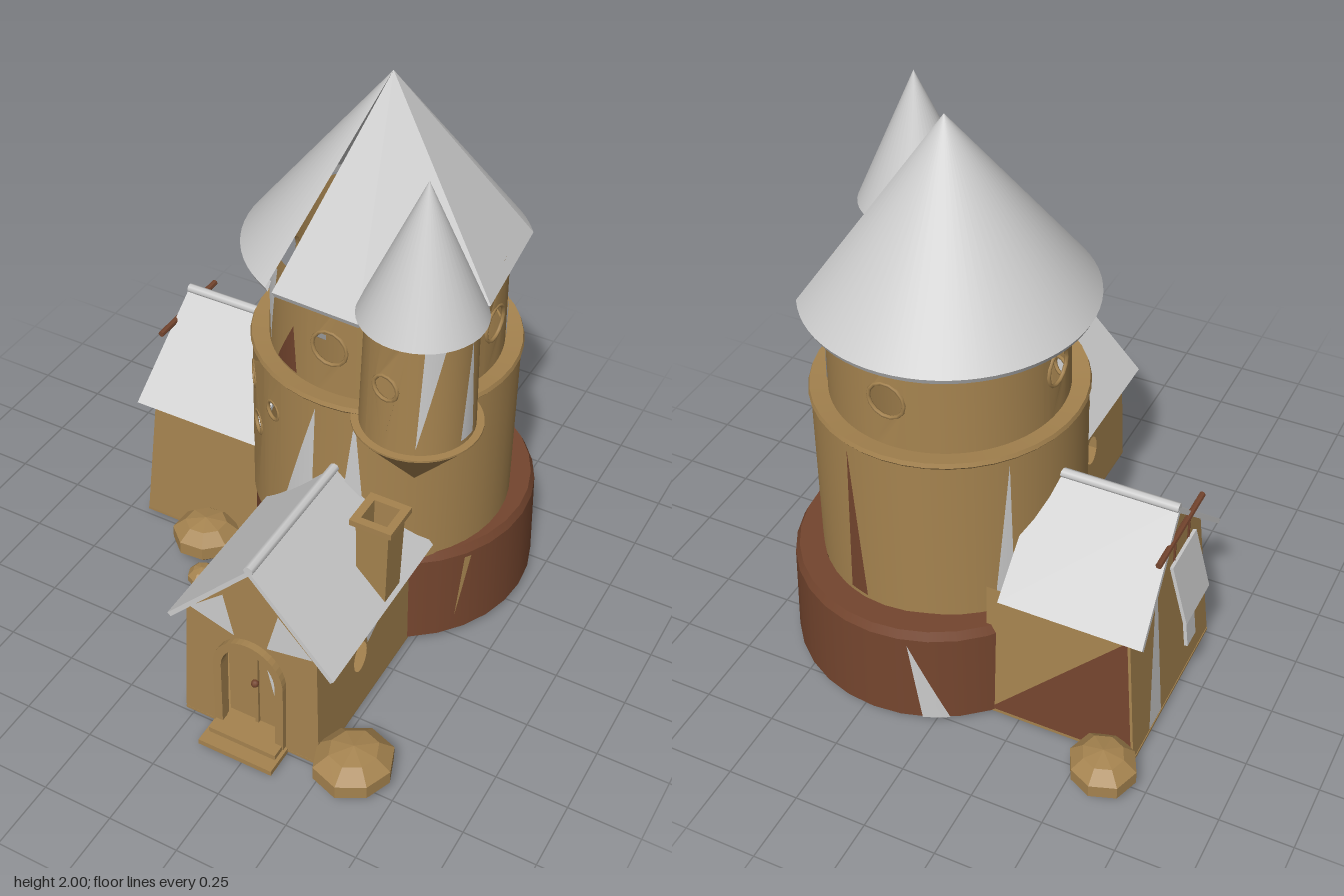
import * as THREE from 'three';

const mat = (color, flat = false) => new THREE.MeshStandardMaterial({ color, flatShading: flat, side: THREE.DoubleSide });
const TAN = mat(0xa5834f), BRICK = mat(0x74452e), GREY = mat(0xcccccc);
const TAN_FLAT = mat(0xa5834f, true), BRICK_FLAT = mat(0x74452e, true), GREY_FLAT = mat(0xcccccc, true);
const V2 = (x, y) => new THREE.Vector2(x, y);

function add(parent, name, geo, material, x = 0, y = 0, z = 0) {
  const m = new THREE.Mesh(geo, material);
  m.name = name;
  m.position.set(x, y, z);
  parent.add(m);
  return m;
}

function group(parent, name, x, y, z) {
  const g = new THREE.Group();
  g.name = name;
  g.position.set(x, y, z);
  parent.add(g);
  return g;
}

// Moves every vertex by a rule, then refreshes the normals
function warp(geo, rule) {
  const p = geo.attributes.position, v = new THREE.Vector3();
  for (let i = 0; i < p.count; i++) {
    rule(v.fromBufferAttribute(p, i));
    p.setXYZ(i, v.x, v.y, v.z);
  }
  geo.computeVertexNormals();
  return geo;
}

// Each pair of profile points becomes its own turned band, so edges stay crisp
function turned(parent, name, pts, material, start = 0, len = Math.PI * 2, seg = 40) {
  for (let i = 0; i + 1 < pts.length; i++)
    add(parent, name, new THREE.LatheGeometry([V2(...pts[i]), V2(...pts[i + 1])], seg, start, len), material);
}

function ellipseHole(x, y, rx, ry) {
  return new THREE.Path().absellipse(x, y, rx, ry, 0, Math.PI * 2, true);
}

// Round wall with bent panels that carry window holes; panel: {a, half, holes: [angle, y, radius]}
function roundWall(parent, name, r0, y0, r1, y1, panels) {
  const radius = y => r0 + (r1 - r0) * (y - y0) / (y1 - y0);
  panels.forEach(({ a, half, holes }, i) => {
    const pts = [], n = 8;
    for (let k = 0; k <= n; k++) pts.push(V2(a - half + 2 * half * k / n, y0));
    for (let k = n; k >= 0; k--) pts.push(V2(a - half + 2 * half * k / n, y1));
    const shape = new THREE.Shape(pts);
    holes.forEach(([ha, hy, hr]) => shape.holes.push(ellipseHole(ha, hy, hr / radius(hy), hr)));
    add(parent, name + 'WindowPanel', warp(new THREE.ShapeGeometry(shape, 8), v => {
      const r = radius(v.y);
      v.set(r * Math.sin(v.x), v.y, r * Math.cos(v.x));
    }), TAN);
    holes.forEach(([ha, hy, hr]) => {
      const r = radius(hy) - 0.004;
      add(parent, 'windowFrame', new THREE.TorusGeometry(hr, 0.007, 6, 14), TAN,
        r * Math.sin(ha), hy, r * Math.cos(ha)).rotation.y = ha;
    });
    const next = panels[(i + 1) % panels.length];
    let end = next.a - next.half;
    while (end <= a + half) end += Math.PI * 2;
    turned(parent, name, [[r0, y0], [r1, y1]], TAN, a + half, end - a - half);
  });
}

// Triangular patch; map turns its corner coordinates into a point on the surface
function patch(parent, material, a, b, c, map = v => v) {
  const A = new THREE.Vector3(...a), B = new THREE.Vector3(...b), C = new THREE.Vector3(...c);
  const geo = warp(new THREE.PlaneGeometry(1, 1, 6, 6), v => {
    const u = v.x + 0.5, t = v.y + 0.5;
    v.copy(A).lerp(B.clone().lerp(C, u), t);
    map(v);
  });
  add(parent, 'wallPatch', geo, material);
}
function roundPatch(parent, material, r, a, b, c) {
  patch(parent, material, [...a, 0], [...b, 0], [...c, 0],
    v => v.set(r * Math.sin(v.x), v.y, r * Math.cos(v.x)));
}

// Gabled house: ridge along z, gable wall at z = 0, body running towards -z
function house(parent, name, x, z, o) {
  const g = group(parent, name, x, 0, z), y0 = 0.03;
  const top = o.apex - o.topW * o.slope;
  const halfW = y => o.botW + (o.topW - o.botW) * (y - y0) / (top - y0);
  const lean = v => { v.z -= o.lean * v.y; };
  const gable = new THREE.Shape([V2(-o.botW, y0), V2(o.botW, y0), V2(o.topW, top), V2(0, o.apex), V2(-o.topW, top)]);
  if (o.door) gable.holes.push(o.door);
  add(g, 'gableWall', warp(new THREE.ExtrudeGeometry(gable, { depth: 0.03, bevelEnabled: false })
    .translate(0, 0, -0.03), lean), TAN_FLAT);
  for (const s of [-1, 1]) {
    const side = new THREE.Shape([V2(0, y0), V2(o.len, y0), V2(o.len, top), V2(0, top)]);
    if (o.window) side.holes.push(ellipseHole(...o.window));
    add(g, 'sideWall', warp(new THREE.ShapeGeometry(side, 8), v => {
      v.set(s * halfW(v.y), v.y, -v.x - (v.x < 0.01 ? o.lean * v.y : 0));
    }), TAN_FLAT);
  }
  add(g, 'floor', new THREE.BoxGeometry(2 * o.botW, 0.01, o.len), TAN_FLAT, 0, 0.025, -o.len / 2);
  // Roof chevron and ridge roll
  const e = o.eaveW, ey = o.ridge - e * o.slope, t = 0.022;
  const chevron = new THREE.Shape([V2(-e, ey), V2(-e + 0.012, ey - 0.012), V2(0, o.ridge - t),
    V2(e - 0.012, ey - 0.012), V2(e, ey), V2(0, o.ridge)]);
  add(g, 'gableRoof', warp(new THREE.ExtrudeGeometry(chevron, { depth: o.len, bevelEnabled: false })
    .translate(0, 0, o.overhang - o.len), v => { if (v.z > 0) lean(v); }), GREY_FLAT);
  add(g, 'ridgeRoll', new THREE.CylinderGeometry(0.017, 0.017, o.len, 8).rotateX(Math.PI / 2), GREY,
    0, o.ridge - 0.002, o.overhang - o.lean * o.ridge - o.len / 2);
  return g;
}

function archPath(Type, w, y0, spring, rise) {
  const p = new Type();
  p.moveTo(-w, y0);
  p.lineTo(w, y0);
  p.lineTo(w, spring);
  p.absellipse(0, spring, w, rise, 0, Math.PI, false);
  p.lineTo(-w, y0);
  return p;
}

export function createModel() {
  const root = new THREE.Group();
  root.name = 'castleHouse';

  // Brick base drum with sloped rim and a striped underside
  const base = group(root, 'base', 0.205, 0, -0.315);
  turned(base, 'baseDrum', [[0, 0.03], [0.512, 0.03], [0.5, 0.37]], BRICK, 0, Math.PI * 2, 32);
  turned(base, 'baseRim', [[0.5, 0.37], [0.485, 0.4], [0.4, 0.4]], BRICK, 0, Math.PI * 2, 32);
  for (let i = 0; i < 11; i++)
    add(base, 'underStripe', new THREE.CircleGeometry(0.505, 3, i * 0.571, 0.16 + 0.12 * (i % 3)).rotateX(Math.PI / 2),
      GREY, 0, 0.028, 0);
  roundPatch(base, GREY, 0.514, [-2.88, 0.36], [-2.8, 0.03], [-2.62, 0.03]);
  roundPatch(base, TAN, 0.514, [0.95, 0.37], [0.9, 0.1], [1.0, 0.37]);

  // Main tower: lower drum, ledge, upper drum
  const tower = group(root, 'tower', 0.185, 0, -0.25);
  roundWall(tower, 'lowerDrum', 0.455, 0.38, 0.452, 1.03, [
    { a: -0.85, half: 0.22, holes: [[-0.94, 0.88, 0.045], [-0.77, 0.73, 0.042]] },
    { a: -0.5, half: 0.11, holes: [[-0.5, 0.87, 0.035]] },
  ]);
  turned(tower, 'ledge', [[0.452, 1.015], [0.46, 1.025], [0.455, 1.04], [0.39, 1.03]], TAN);
  const q = Math.PI / 2;
  roundWall(tower, 'upperDrum', 0.395, 1.03, 0.388, 1.42,
    [0, 1, 2, 3].map(i => ({ a: i * q - 0.03, half: 0.22, holes: [[i * q - 0.03, 1.2, 0.063]] })));
  roundPatch(tower, GREY, 0.46, [-0.05, 1.0], [-0.36, 0.5], [-0.08, 0.5]);
  roundPatch(tower, GREY, 0.46, [0.25, 1.0], [0.12, 0.45], [0.36, 0.45]);
  roundPatch(tower, BRICK, 0.457, [2.84, 1.0], [2.78, 0.4], [2.94, 0.4]);
  roundPatch(tower, GREY, 0.457, [-2.25, 1.0], [-2.38, 0.4], [-2.22, 0.4]);
  roundPatch(tower, BRICK, 0.397, [-0.4, 1.22], [-0.65, 1.04], [-0.36, 1.04]);
  roundPatch(tower, GREY, 0.397, [-0.95, 1.38], [-0.85, 1.05], [-0.65, 1.38]);
  roundPatch(tower, GREY, 0.397, [1.95, 1.22], [1.9, 1.04], [2.15, 1.04]);

  // Main roof: smooth cone behind, three flat panels in front and a narrow slit
  const roof = group(root, 'mainRoof', 0.172, 0, -0.255);
  const cone = [[0.455, 1.4], [0.468, 1.365], [0.478, 1.385], [0, 2]];
  turned(roof, 'roofCone', cone, GREY, 2.16, 3.67);
  for (const [from, to] of [[-0.38, 0.28], [0.28, 1.2], [1.2, 2.16]])
    turned(roof, 'roofPanel', cone, GREY_FLAT, from, to - from, 1);

  // Corner turret hanging from the tower
  const turret = group(root, 'turret', 0.477, 0, 0.11);
  turned(turret, 'turretCorbel', [[0, 0.765], [0.212, 1.015], [0.212, 1.022], [0.17, 1.022]], TAN);
  roundWall(turret, 'turretWall', 0.187, 1.02, 0.176, 1.45, [{ a: -0.18, half: 0.42, holes: [[-0.18, 1.25, 0.045]] }]);
  turned(turret, 'turretRoof', [[0.17, 1.44], [0.205, 1.43], [0, 1.9]], GREY);
  roundPatch(turret, GREY, 0.186, [0.5, 1.42], [0.42, 1.04], [0.85, 1.42]);
  roundPatch(turret, GREY, 0.188, [1.4, 1.42], [1.25, 1.04], [1.6, 1.04]);

  // Front porch with arched double door
  const porch = house(root, 'porch', 0.23, 0.755, {
    botW: 0.253, topW: 0.238, apex: 0.755, slope: 1.07, ridge: 0.775, eaveW: 0.305, len: 0.71, lean: 0.02,
    overhang: 0.012, window: [0.295, 0.25, 0.045, 0.06], door: archPath(THREE.Path, 0.105, 0.05, 0.32, 0.115),
  });
  const frame = archPath(THREE.Shape, 0.13, 0.04, 0.32, 0.14);
  frame.holes.push(archPath(THREE.Path, 0.1, 0.05, 0.32, 0.11));
  add(porch, 'doorFrame', new THREE.ExtrudeGeometry(frame, { depth: 0.03, bevelEnabled: false, curveSegments: 10 }),
    TAN_FLAT, 0, 0, -0.014);
  add(porch, 'door', new THREE.ExtrudeGeometry(archPath(THREE.Shape, 0.108, 0.05, 0.32, 0.118),
    { depth: 0.012, bevelEnabled: false }), TAN_FLAT, 0, 0, -0.06);
  add(porch, 'doorSplit', new THREE.BoxGeometry(0.012, 0.38, 0.012), TAN_FLAT, 0, 0.24, -0.043);
  add(porch, 'doorKnob', new THREE.SphereGeometry(0.014, 8, 6), BRICK, 0, 0.245, -0.03);
  patch(porch, GREY, [0.03, 0.34, -0.047], [0.095, 0.3, -0.047], [0.095, 0.06, -0.047]);
  add(porch, 'lowerStep', new THREE.BoxGeometry(0.275, 0.02, 0.12), TAN_FLAT, 0, 0.025, 0.05);
  add(porch, 'upperStep', new THREE.BoxGeometry(0.25, 0.02, 0.075), TAN_FLAT, 0, 0.045, 0.025);
  for (const [s, y] of [[-1, 0.52], [1, 0.5]])
    patch(porch, GREY, [s * 0.225, y - 0.01, -0.008], [s * 0.06, 0.46, -0.007], [s * 0.1, 0.62, -0.01]);
  patch(porch, GREY, [0.243, 0.42, -0.31], [0.243, 0.42, -0.65], [0.249, 0.28, -0.34]);

  // Chimney: tapered square stack with an open cap
  const chimney = group(root, 'chimney', 0.47, 0, 0.335);
  const square = (r0, y0, r1, y1) => turned(chimney, 'chimneyStack', [[r0 * 1.414, y0], [r1 * 1.414, y1]], TAN_FLAT, q / 2, q * 4, 4);
  for (const s of [[0.052, 0.46, 0.058, 0.76], [0.058, 0.76, 0.074, 0.765], [0.074, 0.765, 0.074, 0.787],
    [0.074, 0.787, 0.046, 0.787], [0.046, 0.787, 0.042, 0.6], [0.042, 0.6, 0, 0.6]]) square(...s);

  // Side wing, gable facing -x
  const wing = house(root, 'sideWing', -0.672, -0.335, {
    botW: 0.33, topW: 0.3, apex: 0.83, slope: 0.92, ridge: 0.85, eaveW: 0.337, len: 0.54, lean: 0.08, overhang: 0.055,
  });
  wing.rotation.y = -q;
  patch(wing, BRICK, [-0.332, 0.035, -0.52], [-0.305, 0.52, -0.05], [-0.333, 0.035, -0.01]);
  patch(wing, GREY, [-0.08, 0.65, -0.049], [-0.2, 0.04, 0], [-0.1, 0.04, 0]);
  patch(wing, GREY, [0.24, 0.5, -0.037], [0.2, 0.1, -0.005], [0.1, 0.55, -0.041]);

  // Hanging board on a rod at the gable of the wing
  const sign = group(root, 'hangingSign', -0.67, 0, -0.33);
  add(sign, 'signRod', new THREE.CylinderGeometry(0.011, 0.011, 0.37, 8).rotateX(q), BRICK_FLAT, 0.005, 0.758, 0);
  for (const s of [-1, 1])
    add(sign, 'signHanger', new THREE.CylinderGeometry(0.004, 0.004, 0.13, 6), BRICK_FLAT, 0, 0.7, s * 0.06);
  const board = add(sign, 'signBoard', new THREE.BoxGeometry(0.012, 0.23, 0.2), GREY_FLAT, -0.035, 0.57, 0);
  board.rotation.z = -0.25;
  const tail = add(sign, 'signTail', new THREE.BoxGeometry(0.012, 0.13, 0.07), GREY_FLAT, -0.06, 0.415, -0.05);
  tail.rotation.z = -0.1;

  // Boulders around the walls: x, z, radius, height
  [[-0.605, -0.765, 0.122, 0.15], [-0.365, 0.07, 0.124, 0.165], [-0.29, 0.225, 0.056, 0.08],
    [-0.14, 0.235, 0.072, 0.105], [0.6, 0.735, 0.14, 0.165]].forEach(([x, z, r, h], i) => {
    const geo = warp(new THREE.SphereGeometry(1, 8, 5), v => {
      const a = Math.atan2(v.z, v.x), k = 1 + 0.05 * Math.sin(2 * a + i * 1.7);
      v.set(v.x * r * k, v.y * h / 2, v.z * r * k);
    });
    add(root, 'boulder', geo, TAN_FLAT, x, h / 2 + (i === 0 || i === 4 ? 0 : 0.01), z).rotation.y = i * 0.4;
  });
  return root;
}
